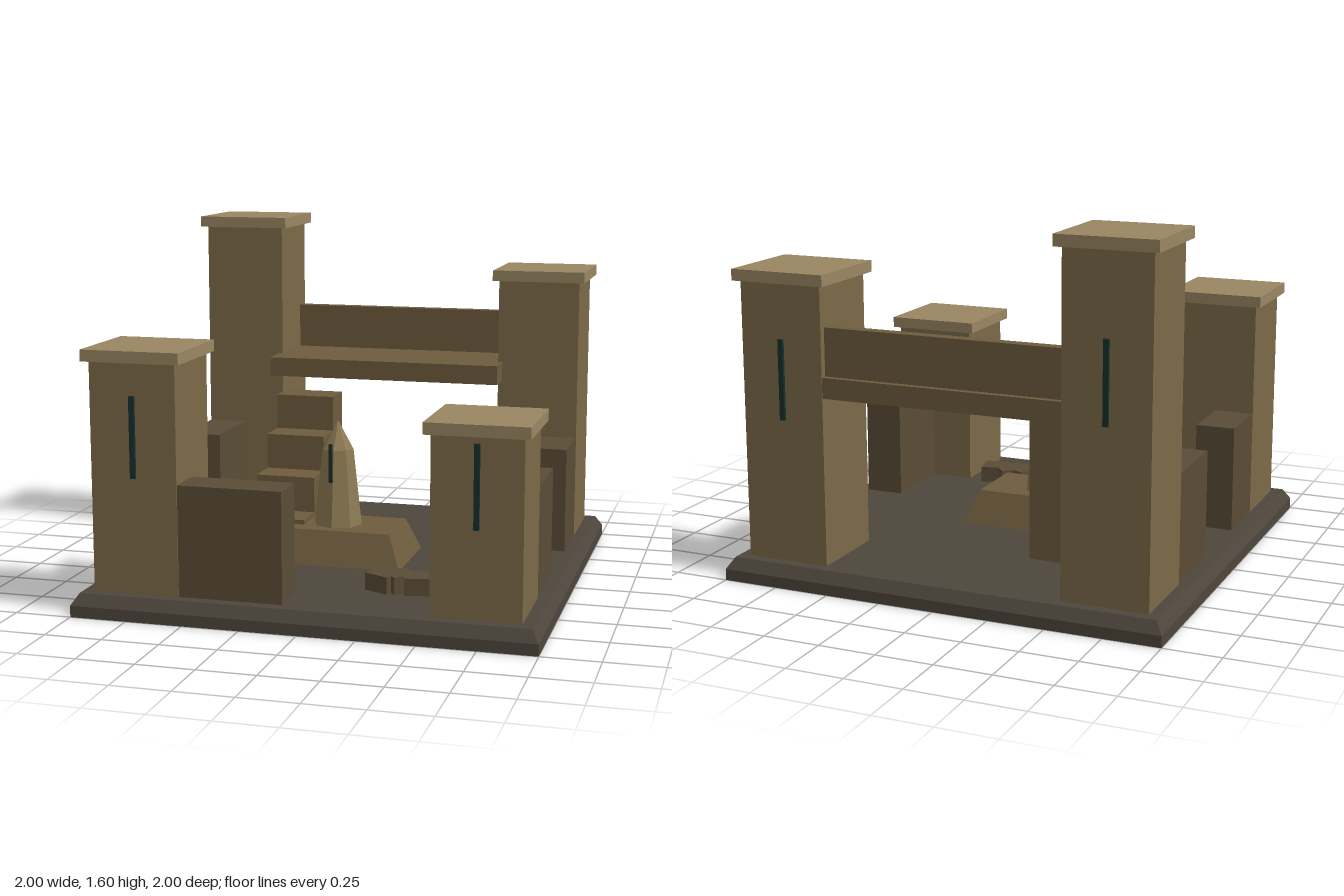
import * as THREE from 'three';

const mat = (color) => new THREE.MeshStandardMaterial({ color, flatShading: true });
const M = {
  ground: mat(0x4e463c), tower: mat(0x7d6a48), cap: mat(0x9a8662), bridge: mat(0x6f5c3e),
  ruin: mat(0x5a4c36), stone: mat(0x8f7b54), slit: mat(0x16302c),
};

export function createModel() {
  const model = new THREE.Group();

  const add = (name, geometry, material, x, y, z, parent = model) => {
    const mesh = new THREE.Mesh(geometry, material);
    mesh.name = name;
    mesh.position.set(x, y, z);
    parent.add(mesh);
    return mesh;
  };

  // Box given by its min and max on each axis
  const block = (name, material, [x0, x1], [y0, y1], [z0, z1], parent) =>
    add(name, new THREE.BoxGeometry(x1 - x0, y1 - y0, z1 - z0), material,
      (x0 + x1) / 2, (y0 + y1) / 2, (z0 + z1) / 2, parent);

  // Box whose top is inset on every side
  const frustum = (name, material, w, h, d, inset, x, y, z) => {
    const g = new THREE.BoxGeometry(w, h, d);
    const p = g.attributes.position;
    for (let i = 0; i < p.count; i++) {
      if (p.getY(i) < 0) continue;
      p.setX(i, p.getX(i) - Math.sign(p.getX(i)) * inset);
      p.setZ(i, p.getZ(i) - Math.sign(p.getZ(i)) * inset);
    }
    g.computeVertexNormals();
    return add(name, g, material, x, y + h / 2, z);
  };

  // Ground slab with bevelled rim
  block('groundSlab', M.ground, [-1, 1], [0, 0.05], [-1, 1]);
  frustum('groundBevel', M.ground, 2, 0.05, 2, 0.032, 0, 0.05, 0);

  // Corner towers: side in x, side in z, body top, window bottom
  const towers = [
    ['backRightTower', -1, -1, 1.55, 0.85],
    ['backLeftTower', 1, -1, 1.32, 0.73],
    ['frontRightTower', -1, 1, 1.09, 0.6],
    ['frontLeftTower', 1, 1, 0.855, 0.475],
  ];
  for (const [name, sx, sz, top, sill] of towers) {
    const tower = new THREE.Group();
    tower.name = name;
    tower.position.set(sx * 0.73, 0, sz * 0.73);
    block('towerBody', M.tower, [-0.19, 0.19], [0.1, top], [-0.19, 0.19], tower);
    block('towerCap', M.cap, [-0.217, 0.217], [top, top + 0.05], [-0.217, 0.217], tower);
    add('slitWindow', new THREE.BoxGeometry(0.023, 0.35, 0.02), M.slit, 0, sill + 0.175, sz * 0.193, tower);
    model.add(tower);
  }

  // Bridge between the back towers
  block('bridgeDeck', M.bridge, [-0.56, 0.56], [0.84, 0.93], [-0.918, -0.405]);
  block('bridgeParapet', M.bridge, [-0.54, 0.54], [0.93, 1.14], [-0.89, -0.837]);

  // Solid stairs rising to the bridge
  for (let i = 0; i < 4; i++) {
    const z = 0.155 - i * 0.16;
    block('stairStep', M.bridge, [-0.5, -0.22], [0.1, 0.27 + i * 0.164], [z - 0.16, z]);
  }

  // Broken walls beside the towers
  const walls = [
    [[-0.54, -0.085], [0.737, 0.915]],
    [[-0.918, -0.74], [-0.54, -0.165]],
    [[0.74, 0.918], [-0.54, -0.243]],
    [[-0.918, -0.74], [0.24, 0.54]],
    [[0.74, 0.918], [0.163, 0.54]],
  ];
  for (const [x, z] of walls) block('ruinedWall', M.ruin, x, [0.1, 0.58], z);

  // Monument: sloped plinth, tapered shaft, pointed tip
  frustum('plinth', M.bridge, 0.68, 0.15, 0.435, 0.06, -0.08, 0.1, 0.078);
  add('obeliskShaft', new THREE.CylinderGeometry(0.073, 0.113, 0.36, 8), M.stone, -0.08, 0.42, 0.08);
  add('obeliskTip', new THREE.ConeGeometry(0.073, 0.13, 8), M.stone, -0.08, 0.665, 0.08);
  add('obeliskSlit', new THREE.BoxGeometry(0.015, 0.175, 0.015), M.slit, -0.08, 0.553, 0.203);

  // Rubble blocks: x, z, turn
  for (const [x, z, turn] of [[0.268, 0.575, -0.46], [0.332, 0.567, 0.72], [0.417, 0.582, 0.19], [-0.38, 0.595, 0.4]]) {
    add('rubble', new THREE.BoxGeometry(0.12, 0.075, 0.12), M.ruin, x, 0.1375, z).rotation.y = turn;
  }

  return model;
}
